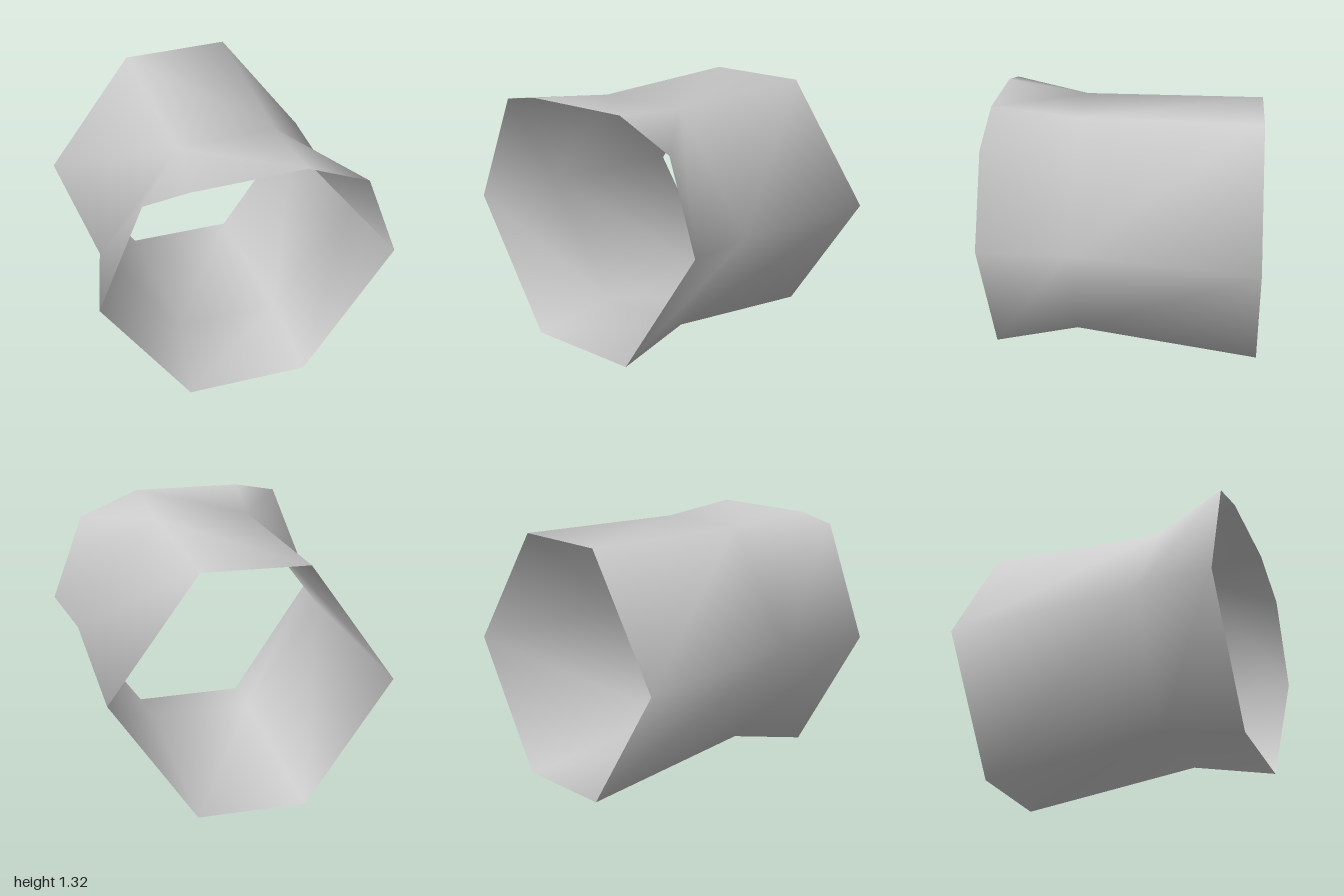
import * as THREE from 'three';

// Open tube lofted through three rings, each listed left, over the top, right, then underneath.
const backRing = [
  [-1, 0.63, -0.07], [-0.66, 1.25, -0.35], [-0.25, 1.26, -0.70],
  [0.09, 0.65, -0.99], [-0.24, 0.005, -0.71], [-0.66, 0, -0.35],
];
const waistRing = [
  [-0.35, 0.71, 0.60], [-0.04, 1.26, 0.33], [0.33, 1.27, 0],
  [0.67, 0.71, -0.27], [0.36, 0.14, 0], [-0.04, 0.14, 0.35],
];
const frontRing = [
  [-0.15, 0.71, 0.98], [0.02, 1.27, 0.83], [0.19, 1.31, 0.70], [0.62, 1.32, 0.32],
  [0.86, 1.19, 0.12], [0.99, 0.74, 0.02], [0.65, 0.06, 0.31], [0.19, 0.06, 0.71],
];

// Stitch two rings; repeated entries let one corner fan out to two.
function stitch(index, a, b) {
  const n = a.length;
  for (let i = 0; i < n; i++) {
    const j = (i + 1) % n;
    if (a[i] !== a[j]) index.push(a[i], b[j], a[j]);
    index.push(a[i], b[i], b[j]);
  }
}

export function createModel() {
  const group = new THREE.Group();
  group.name = 'hexagonalSleeve';
  const grey = new THREE.MeshStandardMaterial({ color: 0xcccccc, side: THREE.DoubleSide });
  grey.name = 'grey';

  const geometry = new THREE.BufferGeometry();
  const points = [...backRing, ...waistRing, ...frontRing].flat();
  geometry.setAttribute('position', new THREE.Float32BufferAttribute(points, 3));

  const index = [];
  // Long rear section, then the flared lip whose upper corners are bevelled.
  stitch(index, [0, 1, 2, 3, 4, 5], [6, 7, 8, 9, 10, 11]);
  stitch(index, [6, 7, 7, 8, 8, 9, 10, 11], [12, 13, 14, 15, 16, 17, 18, 19]);
  geometry.setIndex(index);
  geometry.computeVertexNormals();

  const sleeve = new THREE.Mesh(geometry, grey);
  sleeve.name = 'sleeveWall';
  group.add(sleeve);
  return group;
}
